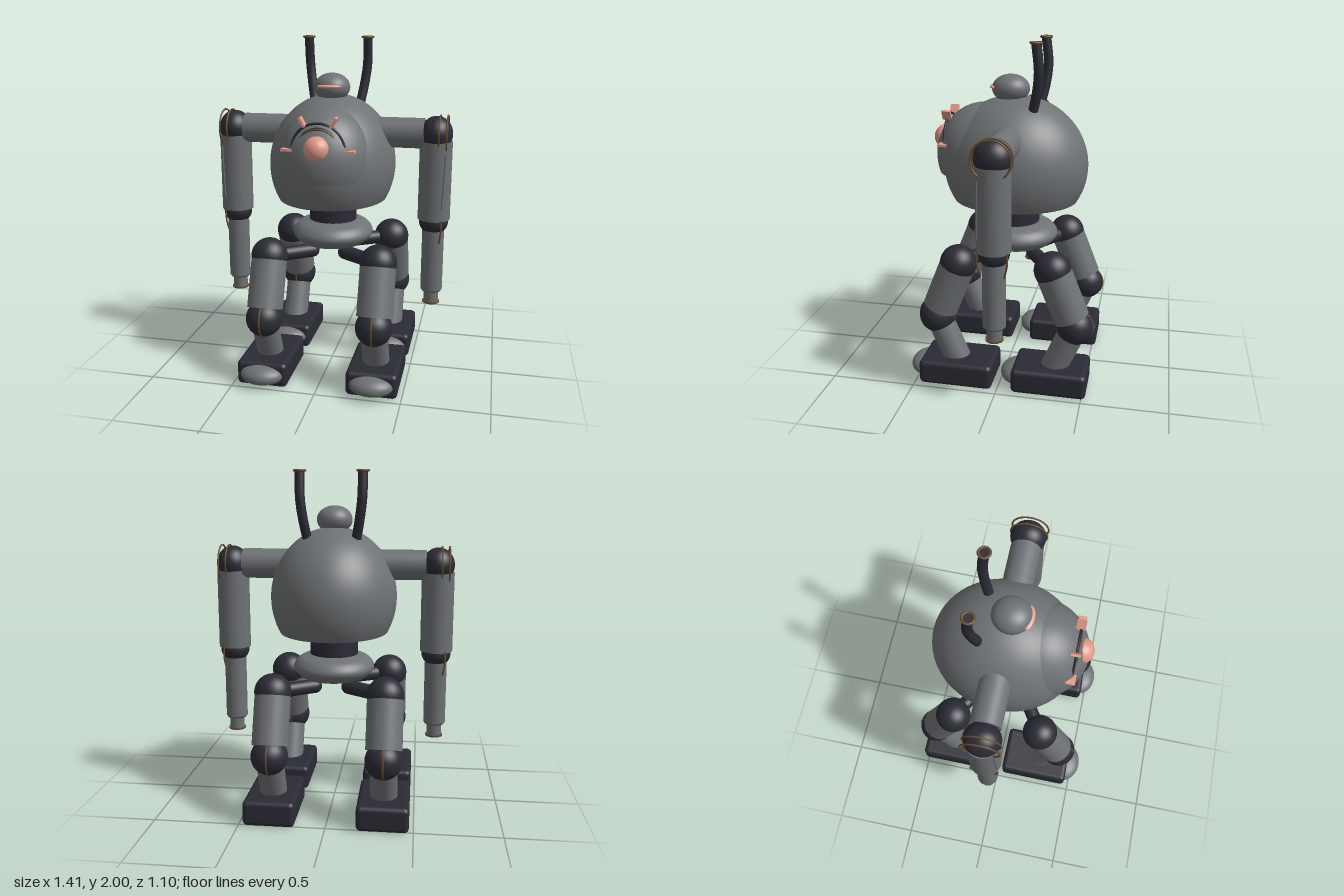
import * as THREE from 'three';
import { RoundedBoxGeometry } from 'three/addons/geometries/RoundedBoxGeometry.js';

const material = (name, color) => {
  const m = new THREE.MeshStandardMaterial({ color });
  m.name = name;
  return m;
};
const V = (x, y, z) => new THREE.Vector3(x, y, z);

export function createModel() {
  const grey = material('grey metal', 0x6e7274);
  const dark = material('dark rubber', 0x2b2b35);
  const pink = material('pink glow', 0xe09a88);
  const brown = material('brown wire', 0x6b4c2e);
  const model = new THREE.Group();
  model.name = 'robot';
  const CZ = -0.027; // depth of the torso axis

  const add = (name, geometry, mat, x = 0, y = 0, z = 0, parent = model) => {
    const mesh = new THREE.Mesh(geometry, mat);
    mesh.name = name;
    mesh.position.set(x, y, z);
    parent.add(mesh);
    return mesh;
  };
  const ball = (name, mat, x, y, z, rx, ry = rx, rz = rx) => {
    const m = add(name, new THREE.SphereGeometry(1, 40, 28), mat, x, y, z);
    m.scale.set(rx, ry, rz);
    return m;
  };
  // Ellipsoid sliced flat at height "cut" below its centre, with a closed base
  const cutBall = (name, mat, x, y, z, rx, ry, rz, cut) => {
    const start = -Math.asin(cut / ry);
    const base = new THREE.Vector2(Math.cos(start), Math.sin(start));
    const points = [new THREE.Vector2(0, base.y), base, base.clone()];
    for (let i = 1; i <= 28; i++) {
      const a = start + ((Math.PI / 2 - start) * i) / 28;
      points.push(new THREE.Vector2(Math.max(0, Math.cos(a)), Math.sin(a)));
    }
    const m = add(name, new THREE.LatheGeometry(points, 56), mat, x, y, z);
    m.scale.set(rx, ry, rz);
    return m;
  };
  const rod = (name, mat, a, b, r, rEnd = r) => {
    const d = b.clone().sub(a);
    const m = add(name, new THREE.CylinderGeometry(rEnd, r, d.length(), 36), mat);
    m.position.copy(a).addScaledVector(d, 0.5);
    m.quaternion.setFromUnitVectors(V(0, 1, 0), d.normalize());
    return m;
  };
  const tube = (name, mat, points, r) =>
    add(name, new THREE.TubeGeometry(new THREE.CatmullRomCurve3(points), 24, r, 14), mat);
  // Wire ring standing in the side plane
  const sideRing = (name, x, y, z, r) => {
    const m = add(name, new THREE.TorusGeometry(r, 0.005, 8, 48), brown, x, y, z);
    m.rotation.y = Math.PI / 2;
    return m;
  };

  // Torso, face bulge, waist and pelvis
  cutBall('torso', grey, 0, 1.265, CZ, 0.372, 0.41, 0.428, 0.207);
  cutBall('faceBulge', grey, 0, 1.32, 0.15, 0.28, 0.31, 0.295, 0.1);
  rod('waist', dark, V(0, 0.85, CZ), V(0, 1.07, CZ), 0.143);
  const rim = new THREE.SplineCurve(
    [[0.14, 0.77], [0.2, 0.785], [0.243, 0.84], [0.21, 0.895], [0.14, 0.92]].map(
      (p) => new THREE.Vector2(...p)
    )
  ).getPoints(24);
  const pelvis = [new THREE.Vector2(0, 0.77), ...rim, new THREE.Vector2(0, 0.92)];
  add('pelvis', new THREE.LatheGeometry(pelvis, 48), grey, 0, 0, CZ).scale.z = 1.05;

  // Head with a thin glowing slit
  ball('head', grey, 0, 1.715, 0.003, 0.105, 0.082, 0.11);
  ball('headSlit', pink, 0, 1.725, 0.09, 0.07, 0.014, 0.034);

  // Eye, brow arcs and radiating lashes
  ball('eye', pink, 0, 1.415, 0.392, 0.075);
  const arc = (name, mat, r, t, z) =>
    add(name, new THREE.TorusGeometry(r, t, 8, 40, Math.PI), mat, 0, 1.405, z);
  arc('outerBrow', dark, 0.15, 0.007, 0.37);
  arc('innerBrow', dark, 0.118, 0.01, 0.37);
  arc('browWire', brown, 0.118, 0.005, 0.379);
  for (let i = 0; i < 4; i++) {
    const a = (i * Math.PI) / 3;
    const lash = add('lash', new THREE.BoxGeometry(0.062, 0.014, 0.052), pink,
      0.175 * Math.cos(a), 1.405 + 0.18 * Math.sin(a), 0.367);
    lash.rotation.z = a;
  }

  for (const s of [-1, 1]) {
    // Antenna horn with a wire lip
    tube('horn', dark, [
      V(s * 0.14, 1.61, -0.15), V(s * 0.16, 1.72, -0.175),
      V(s * 0.175, 1.84, -0.187), V(s * 0.178, 1.99, -0.172),
    ], 0.028);
    const lip = add('hornLip', new THREE.TorusGeometry(0.031, 0.007, 10, 28), brown, s * 0.178, 1.993, -0.172);
    lip.rotation.x = Math.PI / 2;
    const mouth = add('hornMouth', new THREE.CircleGeometry(0.028, 24), dark, s * 0.178, 1.99, -0.172);
    mouth.rotation.x = -Math.PI / 2;

    // Shoulder
    const ax = s * 0.61;
    rod('shoulderBeam', grey, V(s * 0.25, 1.457, CZ), V(s * 0.54, 1.457, CZ), 0.088);
    ball('shoulderJoint', dark, ax, 1.457, CZ, 0.094, 0.103, 0.105);
    for (const x of [0.63, 0.673]) sideRing('shoulderWire', s * x, 1.457, CZ, 0.107);

    // Arm
    rod('upperArm', grey, V(ax, 0.95, CZ), V(ax, 1.415, CZ), 0.095);
    tube('armPipe', grey, [
      V(s * 0.672, 1.35, CZ + 0.074), V(s * 0.668, 1.2, CZ + 0.077), V(s * 0.66, 1.03, CZ + 0.082),
    ], 0.006);
    ball('elbowJoint', dark, ax, 0.935, CZ, 0.086, 0.08, 0.086);
    for (const f of [-1, 1]) {
      tube('elbowWire', brown, [
        V(s * 0.66, 0.96, CZ + f * 0.08), V(s * 0.66, 0.89, CZ + f * 0.082), V(s * 0.65, 0.815, CZ + f * 0.064),
      ], 0.005);
    }
    rod('forearm', grey, V(ax, 0.51, CZ), V(ax, 0.9, CZ), 0.065);
    rod('wristTaper', grey, V(ax, 0.497, CZ), V(ax, 0.51, CZ), 0.055, 0.065);
    rod('wrist', grey, V(ax, 0.43, CZ), V(ax, 0.5, CZ), 0.044);
    rod('wristFlange', brown, V(ax, 0.422, CZ), V(ax, 0.432, CZ), 0.051);

    // Front and rear legs mirror each other about the torso axis; feet all point forward
    for (const f of [1, -1]) {
      const lx = s * 0.325;
      const hip = V(lx, 0.742, CZ + f * 0.277);
      const knee = V(lx, 0.4, CZ + f * 0.413);
      const ankle = V(lx, 0.1, CZ + f * 0.285);
      const inner = V(s * 0.1, 0.745, CZ + f * 0.13);
      rod('hipStrut', dark, inner, hip, 0.042);
      ball('hipStrutEnd', dark, inner.x, inner.y, inner.z, 0.042);
      ball('hipJoint', dark, hip.x, hip.y, hip.z, 0.108);
      rod('thigh', grey, hip.clone().lerp(knee, 0.04), hip.clone().lerp(knee, 0.84), 0.105);
      ball('kneeJoint', dark, knee.x, knee.y, knee.z, 0.107);
      sideRing('kneeWire', knee.x, knee.y, knee.z, 0.107);
      rod('shin', grey, knee, ankle, 0.079);

      const fz = f > 0 ? 0.251 : -0.305;
      add('foot', new RoundedBoxGeometry(0.3, 0.148, 0.44, 4, 0.028), dark, lx, 0.076, fz);
      cutBall('toe', grey, lx, 0.075, fz + 0.195, 0.13, 0.063, 0.105, 0.03);
    }
  }
  return model;
}
